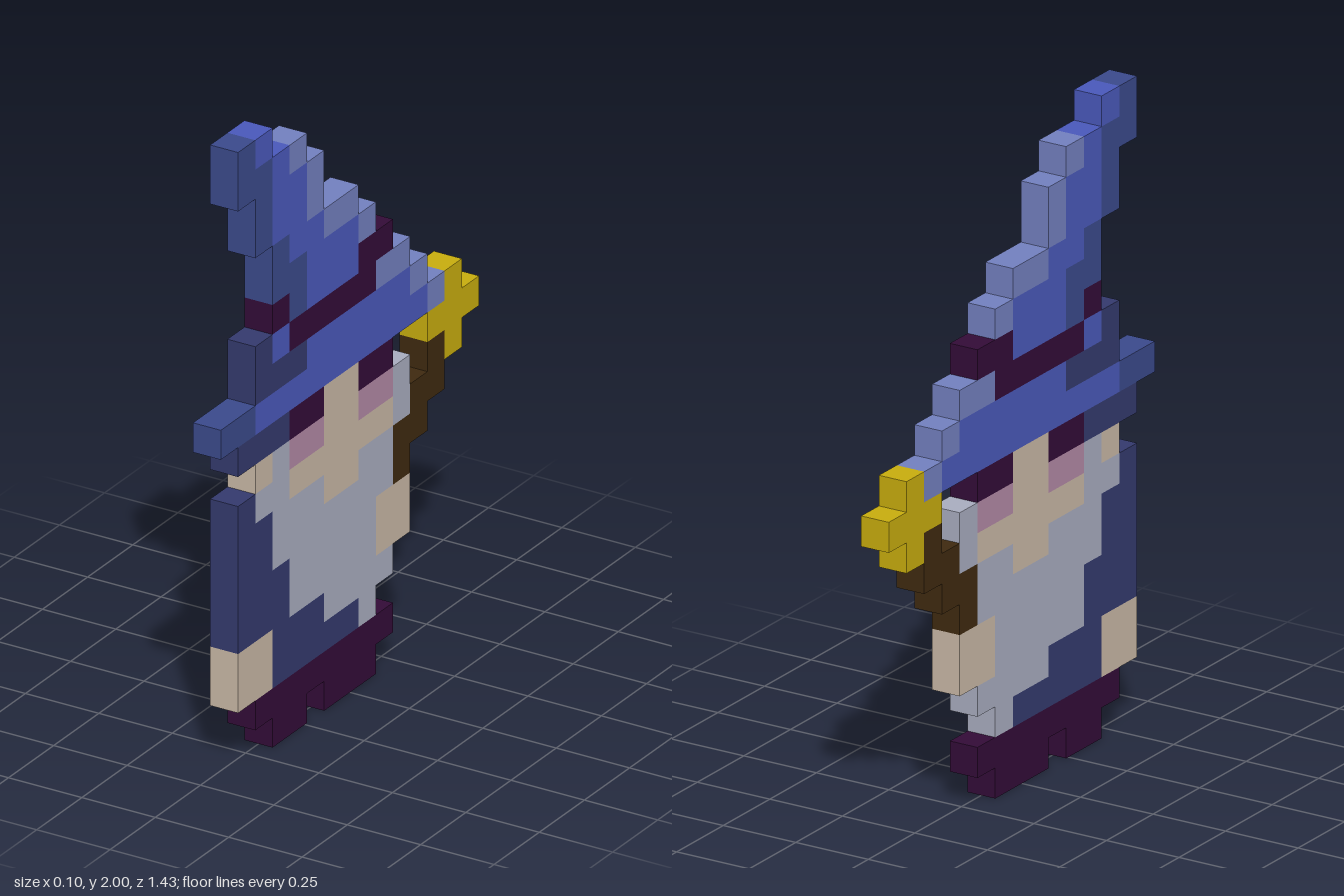
import * as THREE from 'three';
import { mergeGeometries } from 'three/addons/utils/BufferGeometryUtils.js';

const ROWS = 21, COLS = 15, CELL = 2 / ROWS;

const mat = (name, color) => {
  const m = new THREE.MeshStandardMaterial({ color });
  m.name = name;
  return m;
};

// One block: first row from the top, first and last column from the front, height in rows
function block(row, from, to, rows = 1) {
  const g = new THREE.BoxGeometry(CELL, rows * CELL, (to - from + 1) * CELL);
  g.translate(0, (ROWS - row - rows / 2) * CELL, (COLS / 2 - (from + to + 1) / 2) * CELL);
  return g;
}

export function createModel() {
  const model = new THREE.Group();
  model.name = 'pixelWizard';

  const shade = mat('hat shade blue', 0x3b4a8c);
  const blue = mat('hat blue', 0x4a59bb);
  const light = mat('hat light blue', 0x7380c0);
  const navy = mat('robe navy', 0x343a6e);
  const plum = mat('dark plum', 0x330c38);
  const skin = mat('skin', 0xc9b8a6);
  const pink = mat('cheek pink', 0xb389a6);
  const grey = mat('beard grey', 0xa9adc0);
  const gold = mat('gold', 0xc8ad0e);
  const brown = mat('staff brown', 0x3f2a10);

  const part = (name, material, blocks) => {
    const mesh = new THREE.Mesh(mergeGeometries(blocks.map(b => block(...b))), material);
    mesh.name = name;
    model.add(mesh);
  };

  // Pointed hat: shaded front, body and lit back edge
  part('hatShadedEdge', shade, [[0, 1, 1, 2], [1, 2, 2, 3], [4, 3, 3, 2], [5, 4, 4, 2]]);
  part('hatBody', blue, [[0, 2, 2], [1, 3, 3], [2, 3, 4, 2], [4, 4, 5], [5, 5, 7], [6, 5, 7], [7, 3, 3]]);
  part('hatLitEdge', light, [[1, 4, 4], [2, 5, 5, 2], [4, 6, 7], [5, 8, 8]]);
  part('hatBand', plum, [[6, 3, 3], [6, 8, 9], [7, 4, 8]]);

  // Brim
  part('brimUnderside', navy, [[7, 2, 2], [8, 2, 4], [10, 1, 3]]);
  part('brimTip', shade, [[9, 0, 1]]);
  part('brim', blue, [[8, 5, 10], [9, 2, 11]]);
  part('brimLitEdge', light, [[7, 9, 10], [8, 11, 11], [9, 12, 12]]);

  // Face
  part('face', skin, [[10, 6, 7, 2], [12, 4, 9], [13, 6, 7]]);
  part('ear', skin, [[11, 2, 2]]);
  part('eyes', plum, [[10, 4, 5], [10, 8, 9]]);
  part('cheeks', pink, [[11, 4, 5], [11, 8, 9]]);

  // Hair and beard
  part('hair', grey, [[11, 3, 3], [12, 2, 3], [11, 10, 10, 2]]);
  part('beard', grey, [[13, 3, 5], [13, 8, 9], [14, 3, 9], [15, 4, 8, 2], [17, 6, 9], [18, 8, 8]]);

  // Robe, hands and feet
  part('robe', navy, [[12, 1, 1], [13, 1, 2, 2], [15, 1, 3, 2], [17, 3, 5], [18, 3, 7]]);
  part('frontHand', skin, [[17, 1, 2, 2]]);
  part('backHand', skin, [[15, 9, 10, 2]]);
  part('robeHem', plum, [[19, 2, 9]]);
  part('feet', plum, [[20, 3, 4], [20, 6, 8]]);

  // Staff with a star on top
  part('staff', brown, [[11, 12, 12], [12, 11, 12], [13, 10, 11], [14, 10, 10]]);
  part('staffStar', gold, [[9, 13, 13], [10, 12, 14], [11, 13, 13]]);

  return model;
}
